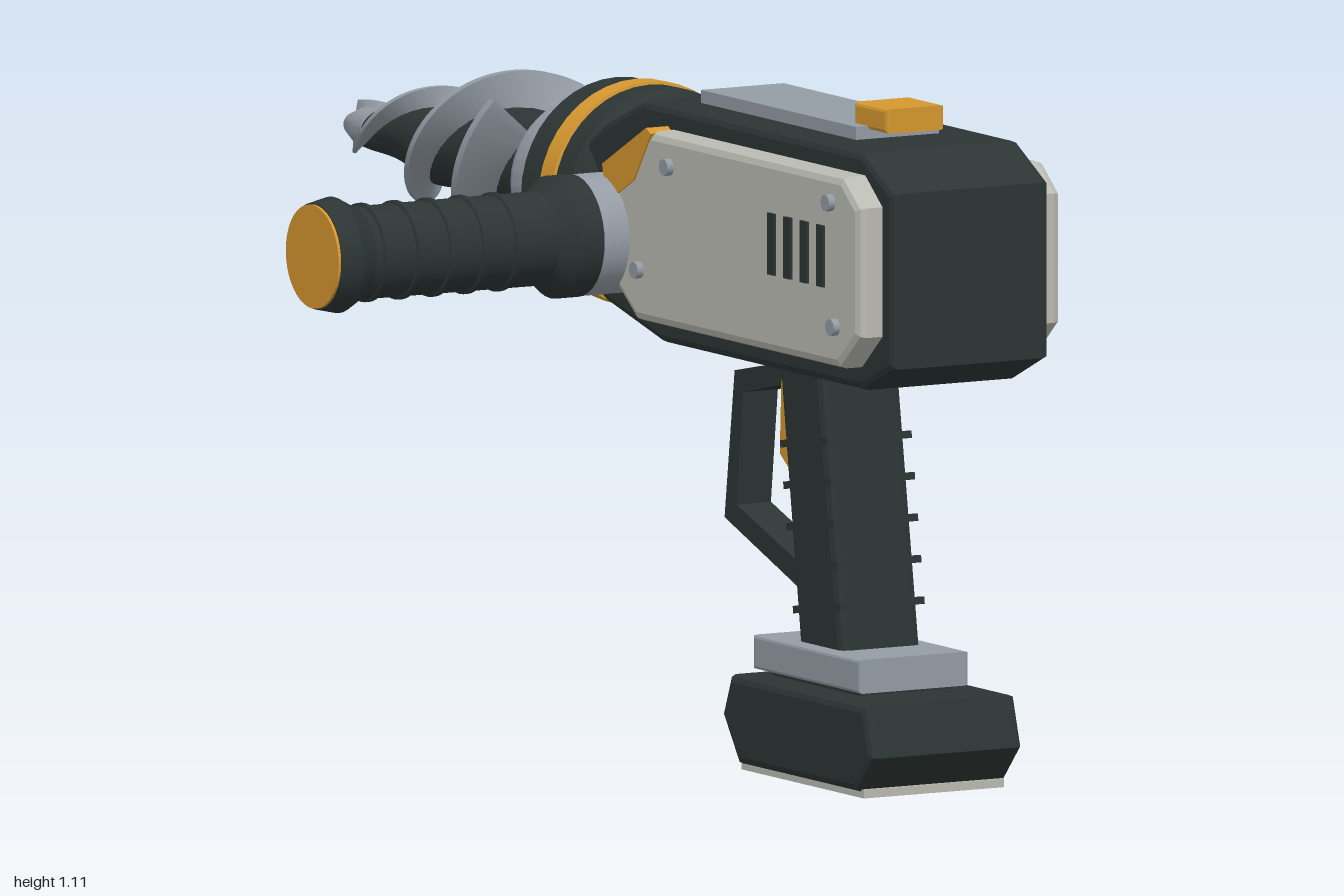
import * as THREE from 'three';
import { toCreasedNormals } from 'three/addons/utils/BufferGeometryUtils.js';

const CX = 0.26; // centre plane of the tool
const AXIS_Y = 0.86; // height of the drill axis

const mat = (name, color) => Object.assign(new THREE.MeshStandardMaterial({ color }), { name });

export function createModel() {
  const dark = mat('dark casing', 0x2c3534);
  const cream = mat('pale panel', 0xbabbb2);
  const steel = mat('grey metal', 0x949ca5);
  const orange = mat('orange accent', 0xd6982f);

  const model = new THREE.Group();
  model.name = 'powerDrill';

  const add = (name, geometry, material, parent = model) => {
    const mesh = new THREE.Mesh(geometry, material);
    mesh.name = name;
    parent.add(mesh);
    return mesh;
  };

  const box = (name, material, x, y, z, w, h, d) => {
    const mesh = add(name, new THREE.BoxGeometry(w, h, d), material);
    mesh.position.set(x, y, z);
    return mesh;
  };

  // Side outline of [z, y] points, extruded from x0 to x1 with bevelled rims
  const slab = (name, material, outline, x0, x1, bevel = 0) => {
    const shape = new THREE.Shape(outline.map(([z, y]) => new THREE.Vector2(z, y)));
    const g = new THREE.ExtrudeGeometry(shape, {
      depth: x1 - x0 - 2 * bevel, bevelEnabled: bevel > 0, bevelSize: bevel,
      bevelThickness: bevel, bevelOffset: -bevel, bevelSegments: 2,
    });
    g.rotateY(-Math.PI / 2).translate(x1 - bevel, 0, 0);
    return add(name, g, material);
  };

  // Turned profile of [radius, distance along axis]
  const turned = (profile) => toCreasedNormals(
    new THREE.LatheGeometry(profile.map(([r, t]) => new THREE.Vector2(r, t)), 40), 0.45);

  // Skin over a list of closed rings with equal point counts
  const loft = (rings, crease) => {
    const n = rings[0].length, index = [];
    for (let i = 0; i < rings.length - 1; i++) {
      for (let j = 0; j < n; j++) {
        const a = i * n + j, b = i * n + (j + 1) % n;
        index.push(a, a + n, b, b, a + n, b + n);
      }
    }
    const g = new THREE.BufferGeometry();
    g.setAttribute('position', new THREE.Float32BufferAttribute(rings.flat(2), 3));
    g.setIndex(index);
    return toCreasedNormals(g, crease);
  };

  // Main housing
  slab('housing', dark, [
    [1, 0.71], [1, 0.995], [0.9, 1.05], [0.2, 1.05], [0.08, 1.0], [0.0, 0.95],
    [0.0, 0.75], [0.08, 0.71], [0.26, 0.665], [0.9, 0.665],
  ], 0.115, 0.405, 0.012);

  // Side panels with accents, vents and bolts
  for (const s of [1, -1]) {
    const span = (a, b) => (s > 0 ? [CX + a, CX + b] : [CX - b, CX - a]);
    slab('sidePanel', cream, [
      [0.965, 0.76], [0.965, 0.97], [0.91, 1.015], [0.3, 1.015],
      [0.12, 0.925], [0.135, 0.79], [0.25, 0.703], [0.9, 0.703],
    ], ...span(0.13, 0.188), 0.014);
    slab('panelAccent', orange, [
      [0.305, 1.012], [0.29, 1.02], [0.15, 0.945], [0.165, 0.885], [0.25, 0.93],
    ], ...span(0.15, 0.191));
    for (let i = 0; i < 4; i++) {
      box('vent', dark, CX + s * 0.188, 0.88, 0.845 - i * 0.052, 0.009, 0.1, 0.022);
    }
    for (const [z, y] of [[0.875, 0.97], [0.89, 0.77], [0.36, 0.965], [0.265, 0.787]]) {
      const bolt = add('bolt', new THREE.CylinderGeometry(0.014, 0.014, 0.03, 10), steel);
      bolt.rotation.z = Math.PI / 2;
      bolt.position.set(CX + s * 0.185, y, z);
    }
  }

  // Top rail and switch
  box('topRail', steel, CX, 1.057, 0.517, 0.154, 0.028, 0.495);
  slab('topSwitch', orange, [[0.825, 1.065], [0.825, 1.105], [0.72, 1.105], [0.72, 1.065]], 0.205, 0.312, 0.006);

  // Front collar, band and chuck, turned about the drill axis
  const front = new THREE.Group();
  front.name = 'drillHead';
  front.position.set(CX, AXIS_Y, 0);
  model.add(front);
  const headPart = (name, material, profile) =>
    add(name, turned(profile).rotateX(-Math.PI / 2), material, front);
  headPart('collar', dark, [[0, -0.09], [0.13, -0.09], [0.152, -0.07], [0.178, -0.02],
    [0.178, 0.13], [0.165, 0.145], [0, 0.145]]);
  headPart('collarBand', orange, [[0.17, 0.025], [0.183, 0.028], [0.183, 0.067], [0.17, 0.07]]);
  headPart('chuck', steel, [[0, 0.14], [0.14, 0.14], [0.14, 0.225], [0.128, 0.25], [0.1, 0.278], [0, 0.278]]);
  headPart('drillTip', steel, [[0, 0.88], [0.034, 0.89], [0.032, 0.93], [0.018, 0.97], [0, 1]]);

  // Twisted core of the bit
  const twist = (t) => -Math.PI / 4 + ((t - 0.28) / 0.125) * Math.PI / 2;
  const coreRadius = (t) => 0.098 - 0.07 * ((t - 0.27) / 0.66) ** 1.15;
  const coreRings = [];
  for (let i = 0; i <= 60; i++) {
    const t = 0.27 + 0.66 * i / 60;
    coreRings.push(Array.from({ length: 28 }, (_, j) => {
      const a = j / 28 * Math.PI * 2;
      const r = coreRadius(t) * (1 + 0.1 * Math.cos(2 * (a - twist(t))));
      return [r * Math.cos(a), r * Math.sin(a), -t];
    }));
  }
  add('bitCore', loft(coreRings, 0.8), dark, front);

  // Two opposed spiral flights, tapering towards the tip
  const flightRings = [];
  const steps = 90;
  for (let i = 0; i <= steps; i++) {
    const k = i / steps, t = 0.283 + 0.675 * k, a = twist(t);
    const inner = Math.max(coreRadius(Math.min(t, 0.93)) - 0.02, 0.005);
    const outer = 0.195 - 0.155 * k ** 0.9;
    const root = 0.019 - 0.009 * k, edge = 0.009 - 0.004 * k;
    flightRings.push([[inner, -root], [outer, -edge], [outer, edge], [inner, root]]
      .map(([r, dz]) => [r * Math.cos(a), r * Math.sin(a), -t + dz]));
  }
  const collapse = (ring) => {
    const c = [0, 1, 2].map((i) => ring.reduce((sum, p) => sum + p[i], 0) / ring.length);
    return ring.map(() => c);
  };
  flightRings.unshift(collapse(flightRings[0]));
  flightRings.push(collapse(flightRings.at(-1)));
  const flight = loft(flightRings, 0.6);
  for (const turn of [0, Math.PI]) add('spiralFlight', flight, steel, front).rotation.z = turn;

  // Side handle, turned about an axis running to -x
  const handle = new THREE.Group();
  handle.name = 'sideHandle';
  handle.position.set(0, 0.83, 0.135);
  model.add(handle);
  const handlePart = (name, material, profile) =>
    add(name, turned(profile).rotateZ(Math.PI / 2), material, handle);
  handlePart('handleMount', steel, [[0, -0.125], [0.098, -0.125], [0.098, -0.02], [0, -0.02]]);
  handlePart('handleGrip', dark, [[0, -0.025], [0.099, -0.025], [0.099, 0.018], [0.076, 0.045],
    [0.075, 0.385], [0.094, 0.42], [0.086, 0.456], [0, 0.456]]);
  handlePart('handleCap', orange, [[0, 0.45], [0.084, 0.45], [0.084, 0.461], [0, 0.461]]);
  for (let i = 0; i < 5; i++) {
    const t = 0.122 + i * 0.061;
    handlePart('handleRing', dark, [[0.07, t - 0.008], [0.08, t - 0.004], [0.08, t + 0.004], [0.07, t + 0.008]]);
  }

  // Pistol grip with ribs
  slab('grip', dark, [[0.72, 0.19], [0.645, 0.68], [0.507, 0.68], [0.578, 0.19]], 0.185, 0.333, 0.014);
  for (let i = 0; i < 5; i++) {
    const y = 0.54 - i * 0.066;
    const rib = box('gripRib', dark, CX - 0.001, y, 0.617 + (0.44 - y) * 0.154, 0.157, 0.012, 0.152);
    rib.rotation.x = -0.15;
  }

  // Trigger and guard
  slab('trigger', orange, [[0.505, 0.66], [0.47, 0.66], [0.45, 0.62], [0.445, 0.5],
    [0.48, 0.475], [0.487, 0.55], [0.51, 0.61]], CX - 0.035, CX + 0.035, 0.005);
  slab('triggerGuard', dark, [
    [0.495, 0.657], [0.3, 0.617], [0.268, 0.375], [0.53, 0.28], [0.548, 0.315],
    [0.306, 0.4], [0.328, 0.585], [0.485, 0.62],
  ], CX - 0.032, CX + 0.032);

  // Battery with its mount, foot plate and latch
  slab('batteryMount', steel, [[0.82, 0.16], [0.82, 0.215], [0.48, 0.215], [0.48, 0.16]], 0.157, 0.36, 0.005);
  box('batteryNeck', dark, CX, 0.155, 0.65, 0.17, 0.03, 0.28);
  slab('battery', dark, [[0.925, 0.07], [0.9, 0.152], [0.47, 0.152], [0.443, 0.085],
    [0.495, 0.01], [0.87, 0.01]], 0.119, 0.4, 0.012);
  box('footPlate', cream, CX, 0.007, 0.685, 0.26, 0.014, 0.39);
  const latch = box('batteryLatch', orange, CX, 0.12, 0.458, 0.1, 0.036, 0.014);
  latch.rotation.x = 0.38;

  return model;
}
